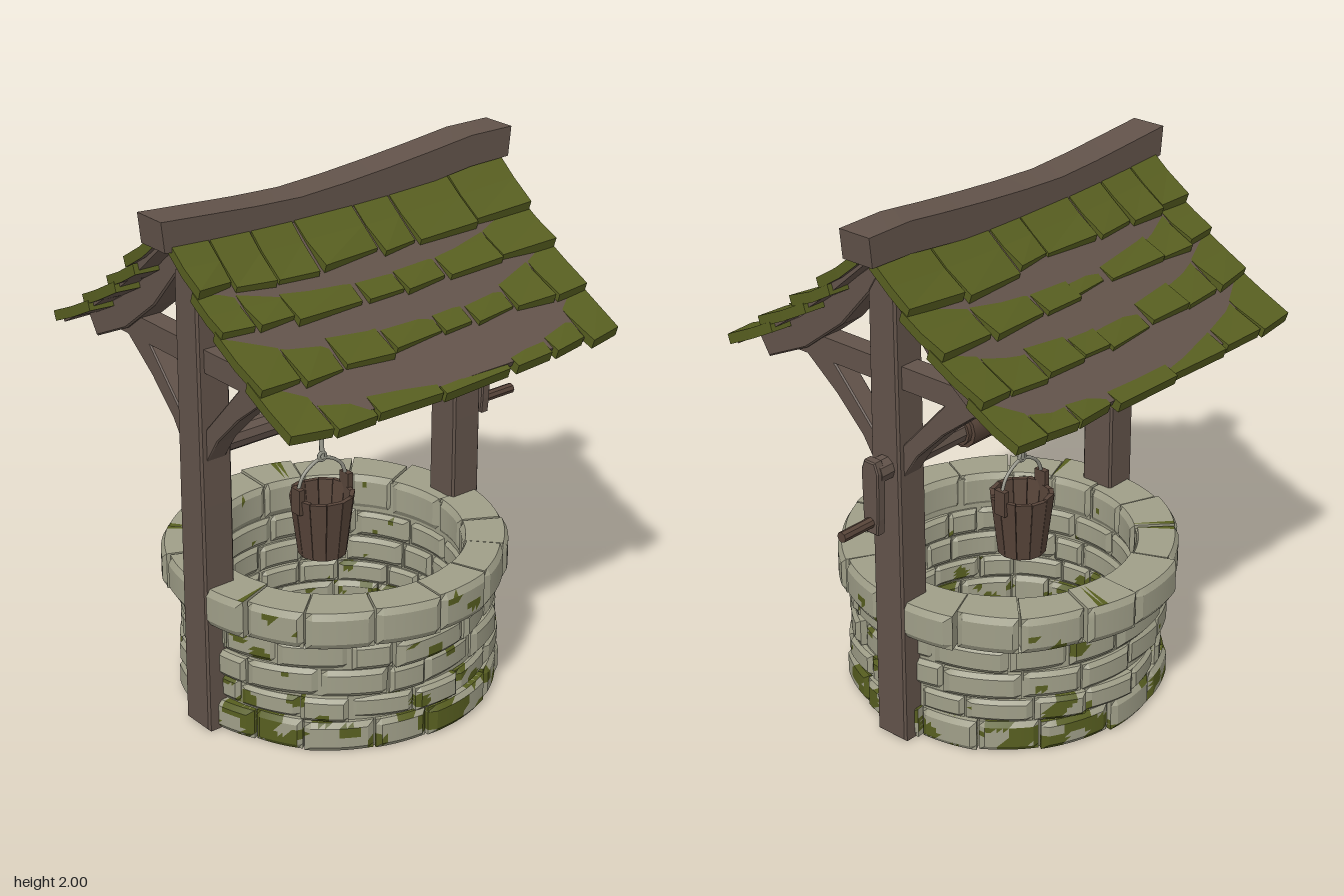
import * as THREE from 'three';
import { toCreasedNormals } from 'three/addons/utils/BufferGeometryUtils.js';

const flat = (name, color) => {
  const m = new THREE.MeshStandardMaterial({ color });
  m.name = name;
  return m;
};

export function createModel() {
  const model = new THREE.Group();
  model.name = 'wishingWell';
  const stone = flat('stone', 0x9f9e88);
  const moss = flat('moss', 0x575e20);
  const wood = flat('wood', 0x62534a);
  const darkWood = flat('darkWood', 0x574439);
  const ropeMat = flat('rope', 0x96968a);

  let seed = 7;
  const rnd = () => (seed = (seed * 16807) % 2147483647) / 2147483647;
  const jit = (a) => (rnd() - 0.5) * 2 * a;

  const add = (name, geo, mat, parent = model) => {
    const mesh = new THREE.Mesh(geo, mat);
    mesh.name = name;
    parent.add(mesh);
    return mesh;
  };
  // Move every vertex by a rule
  const warp = (geo, rule) => {
    const p = geo.attributes.position, v = new THREE.Vector3();
    for (let i = 0; i < p.count; i++) {
      rule(v.fromBufferAttribute(p, i));
      p.setXYZ(i, v.x, v.y, v.z);
    }
    return geo;
  };
  // Extrude a (z, y) outline along x
  const extrudeX = (pts, x0, x1, bevel = 0) => {
    const shape = new THREE.Shape(pts.map(([z, y]) => new THREE.Vector2(z, y)));
    return new THREE.ExtrudeGeometry(shape, {
      depth: x1 - x0 - 2 * bevel, bevelEnabled: bevel > 0, bevelThickness: bevel,
      bevelSize: bevel, bevelOffset: -bevel, bevelSegments: 1,
    }).rotateY(-Math.PI / 2).translate(x1 - bevel, 0, 0);
  };
  const mirrorZ = (pts, s) => pts.map(([z, y]) => [z * s, y]);

  // ---- Stone ring: courses of rough blocks, with moss on some faces ----
  const CX = -0.045;
  const ring = new THREE.Group();
  ring.name = 'stoneRing';
  ring.position.x = CX;
  model.add(ring);

  const mossy = (x, y, z, limit) => {
    const a = Math.atan2(x, z), out = Math.hypot(x, z) > 0.53 ? 0 : 2.2;
    const n = Math.sin(a * 5 + 1.1 + out) + Math.sin(a * 11 + y * 24 + out)
      + 0.8 * Math.sin(a * 23 - y * 45) + 0.6 * Math.sin(y * 60 + a * 17);
    return n - out * 0.25 > limit;
  };
  const courses = [
    // bottom, top, inner radius, outer radius, block count, moss limit
    [0.0, 0.12, 0.45, 0.595, 15, 0.2],
    [0.12, 0.215, 0.45, 0.59, 17, 1.35],
    [0.215, 0.325, 0.455, 0.585, 16, 2.5],
    [0.325, 0.435, 0.455, 0.59, 15, 1.95],
    [0.435, 0.58, 0.465, 0.635, 16, 2.45],
  ];
  courses.forEach(([y0, y1, rIn, rOut, count, limit], row) => {
    const parts = { stone: [[], []], moss: [[], []] };
    const step = (Math.PI * 2) / count;
    const cuts = Array.from({ length: count }, (_, i) => (i + row * 0.47) * step + jit(step * 0.2));
    cuts.push(cuts[0] + Math.PI * 2);
    for (let i = 0; i < count; i++) {
      const a0 = cuts[i] + 0.006, a1 = cuts[i + 1] - 0.006;
      const bulge = jit(0.012), tilt = jit(0.012), lift = jit(0.005);
      const bottom = row === 0 ? 0 : y0 + 0.003, top = y1 - 0.003 + lift;
      let geo = warp(new THREE.BoxGeometry(1, 1, 1, 10, 6, 1), (v) => {
        const edge = Math.abs(v.x) > 0.49 || Math.abs(v.y) > 0.49;
        const a = THREE.MathUtils.lerp(a0, a1, v.x + 0.5);
        let r = v.z > 0 ? rOut + bulge + tilt * v.x * 2 : rIn - bulge * 0.6;
        if (edge) r -= Math.sign(v.z) * 0.014;
        v.set(Math.sin(a) * r, THREE.MathUtils.lerp(bottom, top, v.y + 0.5), Math.cos(a) * r);
      });
      geo.deleteAttribute('uv');
      geo = toCreasedNormals(geo, 0.45);
      const p = geo.attributes.position.array, n = geo.attributes.normal.array;
      for (let k = 0; k < p.length; k += 9) {
        const mid = [0, 1, 2].map((c) => (p[k + c] + p[k + 3 + c] + p[k + 6 + c]) / 3);
        const [pos, nor] = mossy(...mid, limit) && n[k + 1] > -0.7 ? parts.moss : parts.stone;
        for (let c = 0; c < 9; c++) { pos.push(p[k + c]); nor.push(n[k + c]); }
      }
    }
    for (const [key, mat] of [['stone', stone], ['moss', moss]]) {
      const geo = new THREE.BufferGeometry();
      geo.setAttribute('position', new THREE.Float32BufferAttribute(parts[key][0], 3));
      geo.setAttribute('normal', new THREE.Float32BufferAttribute(parts[key][1], 3));
      add(`${key}Course${row + 1}`, geo, mat, ring);
    }
  });
  // Mortar core closing the joints
  const core = [[0.475, 0.002], [0.565, 0.002], [0.565, 0.565], [0.475, 0.565], [0.475, 0.002]];
  add('mortar', toCreasedNormals(new THREE.LatheGeometry(core.map((c) => new THREE.Vector2(...c)), 48), 0.6), stone, ring);

  // ---- Timber frame: posts, rafters, tie beams and braces at both ends ----
  const rafter = [[0, 1.87], [0.2, 1.71], [0.4, 1.55], [0.62, 1.42], [0.57, 1.34], [0.38, 1.43], [0.2, 1.57], [0.06, 1.73], [0, 1.8]];
  const brace = [[0.41, 1.42], [0.25, 1.29], [0.13, 1.17], [0.05, 1.05], [0.05, 1.18], [0.15, 1.29], [0.25, 1.4], [0.27, 1.42]];
  for (const [side, x] of [['right', -0.625], ['left', 0.535]]) {
    const post = [[-0.07, 0], [0.07, 0], [0.068, 0.9], [0.062, 1.74], [0, 1.84], [-0.062, 1.74], [-0.068, 0.9]];
    add(`${side}Post`, extrudeX(post, x - 0.065, x + 0.065, 0.008), wood);
    add(`${side}TieBeam`, new THREE.BoxGeometry(0.08, 0.085, 0.9).translate(x, 1.447, 0), wood);
    for (const s of [1, -1]) {
      add(`${side}Rafter`, extrudeX(mirrorZ(rafter, s), x - 0.055, x + 0.055, 0.006), wood);
      add(`${side}Brace`, extrudeX(mirrorZ(brace, s), x - 0.04, x + 0.04, 0.005), wood);
    }
  }

  // ---- Sagging ridge beam ----
  const ridge = warp(new THREE.BoxGeometry(1.54, 0.115, 0.135, 8, 1, 1), (v) => {
    const t = v.x / 0.77, end = Math.abs(t) > 0.99;
    v.y = 1.878 + 0.062 * Math.min(1, Math.abs(t + 0.25) ** 1.4) + v.y * (end ? 0.95 : 1);
    v.x += -0.05 - (end ? Math.sign(t) * (v.y < 1.92 ? 0.012 : 0) : 0);
    v.z -= 0.004;
  });
  add('ridgeBeam', toCreasedNormals(ridge, 0.3), wood);

  // ---- Roof: boards below, four rows of mossy shingles on each slope ----
  const RX = -0.05;
  const sag = (x) => 0.024 * (1 - (x / 0.73) ** 2);
  const boards = [[0.01, 1.9], [0.2, 1.73], [0.33, 1.63], [0.5, 1.51], [0.66, 1.41], [0.65, 1.39], [0.49, 1.485], [0.32, 1.605], [0.19, 1.705], [0.01, 1.865]];
  const rows = [
    // top z, top y, bottom z, bottom y, cuts along x
    [0.04, 1.9, 0.215, 1.765, [-0.78, -0.63, -0.46, -0.28, -0.02, 0.14, 0.42, 0.68]],
    [0.17, 1.755, 0.345, 1.66, [-0.78, -0.64, -0.48, -0.19, -0.02, 0.17, 0.43, 0.68]],
    [0.29, 1.655, 0.52, 1.54, [-0.78, -0.6, -0.42, -0.21, 0.02, 0.16, 0.35, 0.53, 0.68]],
    [0.46, 1.535, 0.685, 1.425, [-0.78, -0.61, -0.42, -0.13, 0.19, 0.37, 0.53, 0.68]],
  ];
  const tileMats = [moss, moss, moss, wood, moss, moss];
  for (const s of [1, -1]) {
    const slope = new THREE.Group();
    slope.name = s > 0 ? 'frontSlope' : 'backSlope';
    slope.position.x = RX;
    slope.rotation.y = s > 0 ? 0 : Math.PI;
    model.add(slope);
    add('roofBoards', extrudeX(boards, -0.71, 0.71), wood, slope);
    rows.forEach(([z0, y0, z1, y1, cuts], r) => {
      const xs = cuts.map((x) => (x - RX) * s).sort((a, b) => a - b);
      for (let i = 0; i < xs.length - 1; i++) {
        const first = i === 0, last = i === xs.length - 2;
        const a = xs[i] + (first ? 0 : 0.004), b = xs[i + 1] - (last ? 0 : 0.004);
        const reach = jit(0.014), skew = jit(0.012), lift = jit(0.007), lean = jit(0.012);
        const geo = warp(new THREE.BoxGeometry(1, 1, 1, 1, 1, 2), (v) => {
          const t = v.z + 0.5, u = v.x;
          const low = t > 0.9;
          const x = THREE.MathUtils.lerp(a, b, u + 0.5) - (low ? Math.sign(u) * 0.004 : 0) + lean * t * (first || last ? 0 : 1);
          const z = THREE.MathUtils.lerp(z0, z1, t) + (low ? reach + skew * u * 2 : 0);
          const y = THREE.MathUtils.lerp(y0, y1, t) - (t > 0.4 && !low ? 0.006 : 0) + lift * t
            - (low ? reach * 0.6 : 0) + (v.y < 0 ? -0.036 : 0);
          v.set(x, y - sag(x), z - (v.y < 0 ? 0.012 : 0));
        }).toNonIndexed();
        geo.computeVertexNormals();
        add(`shingleRow${r + 1}`, geo, tileMats, slope);
      }
    });
  }

  // ---- Windlass: axle, drum, crank and rope ----
  const rod = (name, r, x0, x1, y, sides, mat, z = 0) => add(name,
    toCreasedNormals(new THREE.CylinderGeometry(r, r, x1 - x0, sides).rotateZ(Math.PI / 2).translate((x0 + x1) / 2, y, z), 0.6), mat);
  rod('axle', 0.046, -0.6, 0.66, 1.1, 10, wood);
  rod('drum', 0.07, -0.28, 0.215, 1.1, 12, darkWood);
  rod('drumCore', 0.056, -0.297, 0.232, 1.1, 12, darkWood);
  const crank = [[-0.03, 0.87], [0.03, 0.87], [0.036, 0.93], [0.04, 1.11], [0.025, 1.15], [-0.025, 1.15], [-0.04, 1.11], [-0.036, 0.93]];
  add('crankArm', extrudeX(crank, 0.638, 0.678, 0.005), wood);
  rod('crankHandle', 0.02, 0.67, 0.82, 0.915, 8, darkWood);
  for (let i = 0; i < 7; i++) {
    const coil = add('ropeCoil', new THREE.TorusGeometry(0.073, 0.011, 6, 20), ropeMat);
    coil.position.set(-0.064 + i * 0.0175, 1.1, 0);
    coil.rotation.set(0, Math.PI / 2 + jit(0.12), 0);
  }
  const BX = -0.085, BZ = -0.03;
  const tube = (name, pts, r, mat) => add(name, new THREE.TubeGeometry(
    new THREE.CatmullRomCurve3(pts.map((p) => new THREE.Vector3(...p))), 20, r, 6), mat);
  tube('hangingRope', [[-0.07, 1.08, -0.07], [-0.075, 1.0, -0.05], [BX, 0.88, BZ]], 0.01, ropeMat);
  add('ropeKnot', new THREE.TorusGeometry(0.016, 0.007, 6, 12).translate(BX, 0.885, BZ), ropeMat);

  // ---- Bucket: uneven staves, floor, ears and bail ----
  const bucket = new THREE.Group();
  bucket.name = 'bucket';
  bucket.position.set(BX, 0.5, BZ);
  model.add(bucket);
  const N = 12;
  for (let i = 0; i < N; i++) {
    const a0 = (i / N) * Math.PI * 2, a1 = ((i + 1) / N) * Math.PI * 2 - 0.02, h = 0.24 + jit(0.008);
    const geo = warp(new THREE.BoxGeometry(1, 1, 1), (v) => {
      const a = v.x < 0 ? a0 : a1, r = (v.y < 0 ? 0.092 : 0.122) - (v.z < 0 ? 0.018 : 0);
      v.set(Math.sin(a) * r, v.y < 0 ? 0 : h, Math.cos(a) * r);
    }).toNonIndexed();
    geo.computeVertexNormals();
    add('stave', geo, darkWood, bucket);
  }
  add('bucketFloor', new THREE.CylinderGeometry(0.086, 0.086, 0.02, N).translate(0, 0.02, 0), darkWood, bucket);
  for (const s of [-1, 1]) {
    add('bucketEar', new THREE.BoxGeometry(0.024, 0.1, 0.05).translate(s * 0.113, 0.24, 0), darkWood, bucket);
  }
  tube('bail', [[BX - 0.115, 0.77, BZ], [BX - 0.09, 0.83, BZ], [BX - 0.04, 0.868, BZ], [BX, 0.878, BZ],
    [BX + 0.04, 0.868, BZ], [BX + 0.09, 0.83, BZ], [BX + 0.115, 0.77, BZ]], 0.007, ropeMat);

  return model;
}
